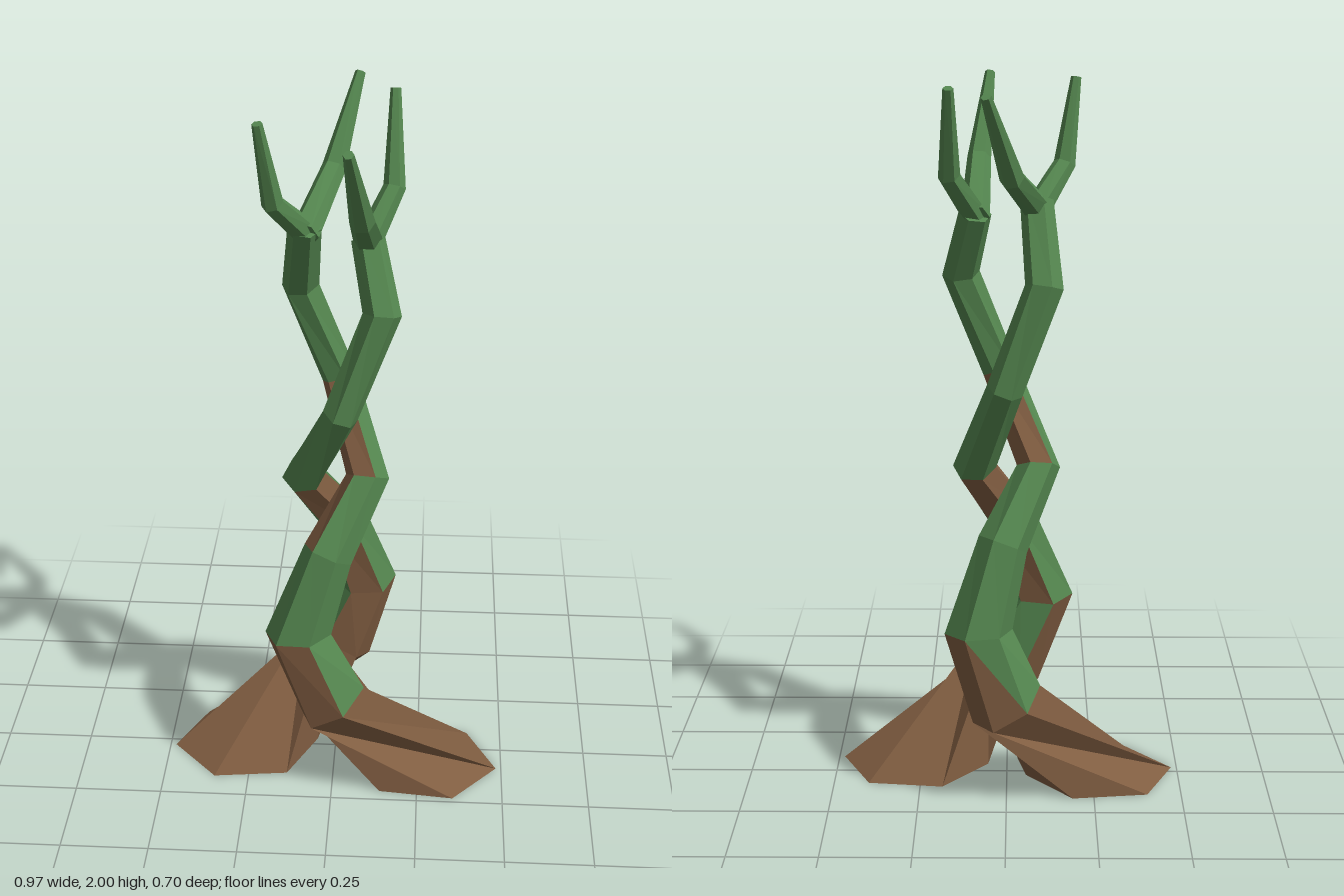
import * as THREE from 'three';

const SIDES = 6;
const STEP = Math.PI * 2 / SIDES;
const V = (x, y, z) => new THREE.Vector3(x, y, z);

// Hexagonal rings [x, y, z, radius] set square to the path.
// With a foot, the first ring lies flat, is narrower in depth and turned by one side.
function makeRings(path, phase, foot) {
  const pts = path.map(p => V(p[0], p[1], p[2]));
  return path.map((p, i) => {
    const isFoot = foot && i === 0;
    const t = V(0, 0, 0);
    if (i > 0) t.add(pts[i].clone().sub(pts[i - 1]).normalize());
    if (i < pts.length - 1) t.add(pts[i + 1].clone().sub(pts[i]).normalize());
    if (isFoot) t.set(0, 1, 0);
    t.normalize();
    const u = V(1, 0, 0).addScaledVector(t, -t.x).normalize();
    const v = t.clone().cross(u).multiplyScalar(isFoot ? 0.84 : 1);
    return Array.from({ length: SIDES }, (_, j) => {
      const a = phase + (isFoot ? j + 1 : j) * STEP;
      return pts[i].clone()
        .addScaledVector(u, Math.cos(a) * p[3])
        .addScaledVector(v, Math.sin(a) * p[3]);
    });
  });
}

// Skins the rings; isBark(segment, normal) sorts each facet into bark or green
function loft(name, path, phase, foot, mats, isBark) {
  const rings = makeRings(path, phase, foot);
  const lists = { Bark: [], Green: [] };
  const tri = (seg, a, b, c) => {
    const n = b.clone().sub(a).cross(c.clone().sub(a)).normalize();
    const list = isBark(seg, n) ? lists.Bark : lists.Green;
    for (const p of [a, b, c]) list.push(p.x, p.y, p.z);
  };
  const last = rings.length - 1;
  for (let i = 0; i < last; i++) {
    for (let j = 0; j < SIDES; j++) {
      const k = (j + 1) % SIDES;
      const [a, b, c, d] = [rings[i][j], rings[i][k], rings[i + 1][k], rings[i + 1][j]];
      tri(i, a, b, d);
      tri(i, b, c, d);
    }
  }
  // end caps
  for (let j = 1; j < SIDES - 1; j++) {
    tri(0, rings[0][0], rings[0][j + 1], rings[0][j]);
    tri(last - 1, rings[last][0], rings[last][j], rings[last][j + 1]);
  }
  const group = new THREE.Group();
  group.name = name;
  for (const key of ['Bark', 'Green']) {
    if (!lists[key].length) continue;
    const geo = new THREE.BufferGeometry();
    geo.setAttribute('position', new THREE.Float32BufferAttribute(lists[key], 3));
    geo.computeVertexNormals();
    const mesh = new THREE.Mesh(geo, mats[key]);
    mesh.name = name + key;
    group.add(mesh);
  }
  return group;
}

export function createModel() {
  const bark = new THREE.MeshStandardMaterial({ color: 0x805d41 });
  const green = new THREE.MeshStandardMaterial({ color: 0x54864f });
  bark.name = 'bark';
  green.name = 'green';
  const mats = { Bark: bark, Green: green };

  const model = new THREE.Group();
  model.name = 'twistedTree';

  const trees = [
    {
      name: 'left', side: 1, phase: -0.12,
      trunk: [
        [0.27, 0, 0.067, 0.216], [0, 0.29, 0.16, 0.11], [-0.097, 0.51, 0.152, 0.095],
        [-0.015, 0.75, 0.112, 0.071], [0.09, 0.94, 0.0, 0.061], [0.005, 1.19, -0.122, 0.05],
        [-0.1, 1.47, -0.105, 0.052], [-0.08, 1.68, 0, 0.045],
      ],
      branches: [
        [[-0.08, 1.66, -0.01, 0.036], [-0.155, 1.77, 0.085, 0.03], [-0.185, 1.995, 0.135, 0.014]],
        [[-0.08, 1.66, 0.01, 0.04], [-0.015, 1.77, -0.2, 0.033], [0.048, 1.99, -0.34, 0.014]],
      ],
    },
    {
      name: 'right', side: -1, phase: 0.14,
      trunk: [
        [-0.27, 0, 0, 0.216], [0, 0.29, -0.16, 0.11], [0.077, 0.51, -0.16, 0.095],
        [0.01, 0.75, -0.112, 0.071], [-0.088, 0.94, 0.003, 0.061], [0.02, 1.19, 0.12, 0.05],
        [0.127, 1.47, 0.085, 0.052], [0.085, 1.65, 0, 0.045],
      ],
      branches: [
        [[0.085, 1.64, -0.01, 0.04], [0.078, 1.77, 0.2, 0.033], [0.05, 1.99, 0.34, 0.014]],
        [[0.085, 1.64, 0.01, 0.036], [0.15, 1.76, -0.085, 0.03], [0.147, 1.995, -0.182, 0.014]],
      ],
    },
  ];

  for (const { name, side, phase, trunk, branches } of trees) {
    // bark at the root flare and on one flank above it, then only on the inside
    const trunkBark = (seg, n) => {
      if (seg === 0) return true;
      if (seg === 1) return n.x * side < 0.1;
      if (seg > 4) return false;
      const [a, b] = [trunk[seg], trunk[seg + 1]];
      const out = V(a[0] + b[0], 0, a[2] + b[2]).normalize();
      return n.dot(out) < (seg === 2 ? -0.8 : -0.2);
    };
    model.add(loft(name + 'Trunk', trunk, phase, true, mats, trunkBark));
    branches.forEach((path, i) =>
      model.add(loft(name + 'Branch' + (i + 1), path, 0, false, mats, () => false)));
  }
  return model;
}
